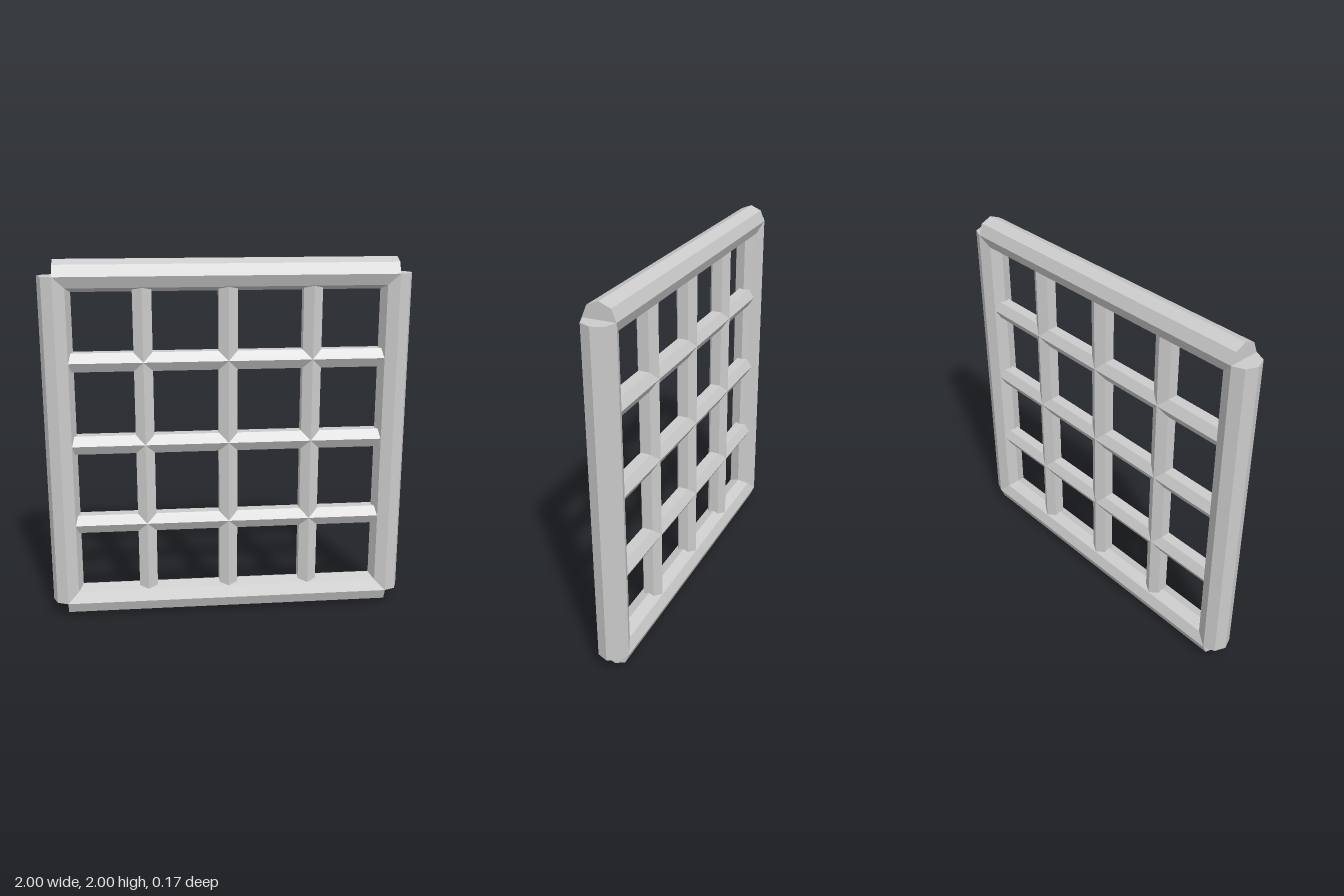
import * as THREE from 'three';

export function createModel() {
  const group = new THREE.Group();
  const material = new THREE.MeshStandardMaterial({ color: 0xcccccc, flatShading: true });

  const frameRadius = 0.0857;          // octagonal outer frame
  const barRadius = 0.059;             // hexagonal inner bars
  const half = 1 - frameRadius;        // centre line of the frame

  const frameGeometry = new THREE.CylinderGeometry(frameRadius, frameRadius, half * 2, 8);
  const barGeometry = new THREE.CylinderGeometry(barRadius, barRadius, half * 2, 6);

  // A straight bar with a ridge facing front and back
  function addBar(name, geometry, horizontal, offset) {
    const bar = new THREE.Mesh(geometry, material);
    bar.name = name;
    if (horizontal) {
      bar.rotation.z = Math.PI / 2;
      bar.position.set(0, 1 + offset, 0);
    } else {
      bar.position.set(offset, 1, 0);
    }
    group.add(bar);
  }

  // Outer frame
  addBar('frameTop', frameGeometry, true, half);
  addBar('frameBottom', frameGeometry, true, -half);
  addBar('frameLeft', frameGeometry, false, half);
  addBar('frameRight', frameGeometry, false, -half);

  // Inner lattice, three bars each way
  for (let i = -1; i <= 1; i++) {
    addBar(`horizontalBar${i + 2}`, barGeometry, true, i * half / 2);
    addBar(`verticalBar${i + 2}`, barGeometry, false, i * half / 2);
  }

  return group;
}
